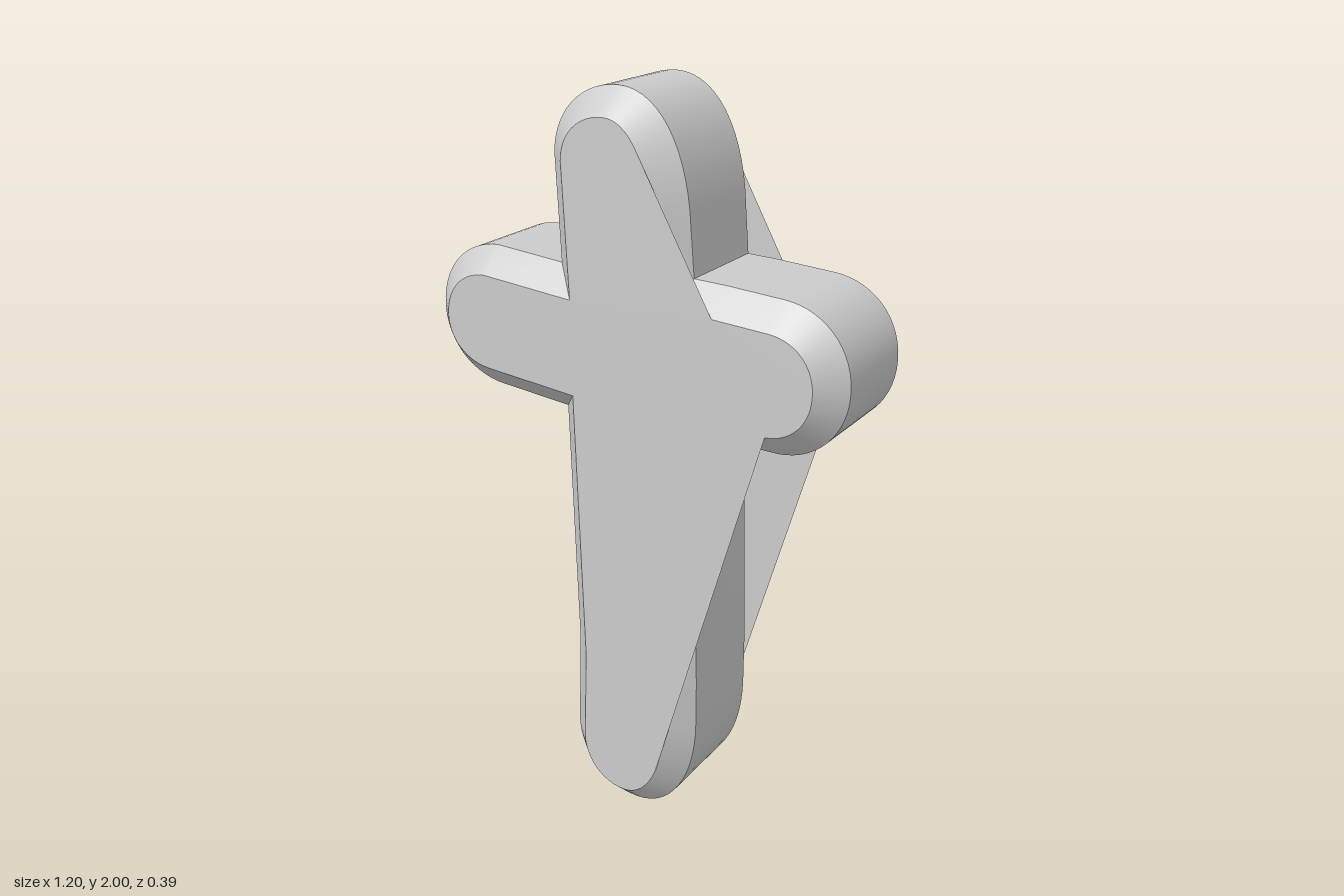
import * as THREE from 'three';
import { toCreasedNormals } from 'three/addons/utils/BufferGeometryUtils.js';

const BEVEL = 0.065, WALL_Z = 0.13, CAP_Z = 0.195;

// Cross silhouette, counter-clockwise from the foot
function outlinePoints() {
  const s = new THREE.Shape();
  s.moveTo(0, 0);
  s.bezierCurveTo(0.12, 0, 0.2, 0.14, 0.2, 0.32);
  s.lineTo(0.2, 0.45);
  s.lineTo(0.18, 1.175);
  s.lineTo(0.42, 1.175);
  s.bezierCurveTo(0.52, 1.18, 0.6, 1.26, 0.6, 1.37);
  s.bezierCurveTo(0.6, 1.48, 0.52, 1.555, 0.42, 1.56);
  s.lineTo(0.27, 1.568);
  s.lineTo(0.18, 1.57);
  s.lineTo(0.17, 1.69);
  s.bezierCurveTo(0.16, 1.88, 0.08, 2, -0.03, 2);
  s.bezierCurveTo(-0.14, 2, -0.22, 1.92, -0.22, 1.82);
  s.lineTo(-0.207, 1.55);
  s.lineTo(-0.41, 1.565);
  s.bezierCurveTo(-0.52, 1.56, -0.6, 1.48, -0.6, 1.37);
  s.bezierCurveTo(-0.6, 1.27, -0.52, 1.19, -0.41, 1.183);
  s.lineTo(-0.2, 1.167);
  s.lineTo(-0.18, 0.47);
  s.lineTo(-0.19, 0.2);
  s.bezierCurveTo(-0.19, 0.09, -0.11, 0, 0, 0);
  const pts = s.getPoints(14);
  if (pts[0].distanceTo(pts[pts.length - 1]) < 1e-6) pts.pop();
  return pts;
}

// Mitred inward offset of a closed counter-clockwise outline
function inset(pts, d) {
  const n = pts.length;
  const normal = (a, b) => new THREE.Vector2(a.y - b.y, b.x - a.x).normalize();
  return pts.map((p, i) => {
    const n1 = normal(pts[(i + n - 1) % n], p), n2 = normal(p, pts[(i + 1) % n]);
    return p.clone().addScaledVector(n1.clone().add(n2), d / (1 + n1.dot(n2)));
  });
}

export function createModel() {
  const group = new THREE.Group();
  group.name = 'cross';
  const material = new THREE.MeshStandardMaterial({ color: 0xcccccc, side: THREE.DoubleSide });
  const outer = outlinePoints(), inner = inset(outer, BEVEL);

  // Side wall and both bevels, lofted through four rings
  const rings = [[inner, -CAP_Z], [outer, -WALL_Z], [outer, WALL_Z], [inner, CAP_Z]];
  const n = outer.length, position = [], index = [];
  rings.forEach(([pts, z], r) => pts.forEach((p, i) => {
    position.push(p.x, p.y, z);
    if (r === 3) return;
    const a = r * n + i, b = r * n + (i + 1) % n;
    index.push(a, b, b + n, a, b + n, a + n);
  }));
  const loft = new THREE.BufferGeometry();
  loft.setAttribute('position', new THREE.Float32BufferAttribute(position, 3));
  loft.setIndex(index);
  const rim = new THREE.Mesh(toCreasedNormals(loft, 0.5), material);
  rim.name = 'beveledRim';
  group.add(rim);

  // Flat caps, each with a thin web bridging the two notches on the left side
  const inNotch = ({ x, y }) => x > 0 &&
    ((y > 1.45 && y < 1.86 && x < 0.25) || (y > 0.18 && y < 1.3 && x < 0.38));
  const capGeometry = new THREE.ShapeGeometry(new THREE.Shape(inner.filter(p => !inNotch(p))));
  for (const [name, side] of [['frontCap', 1], ['backCap', -1]]) {
    const cap = new THREE.Mesh(capGeometry, material);
    cap.name = name;
    cap.position.z = side * CAP_Z;
    cap.scale.z = side;
    group.add(cap);
  }
  return group;
}
